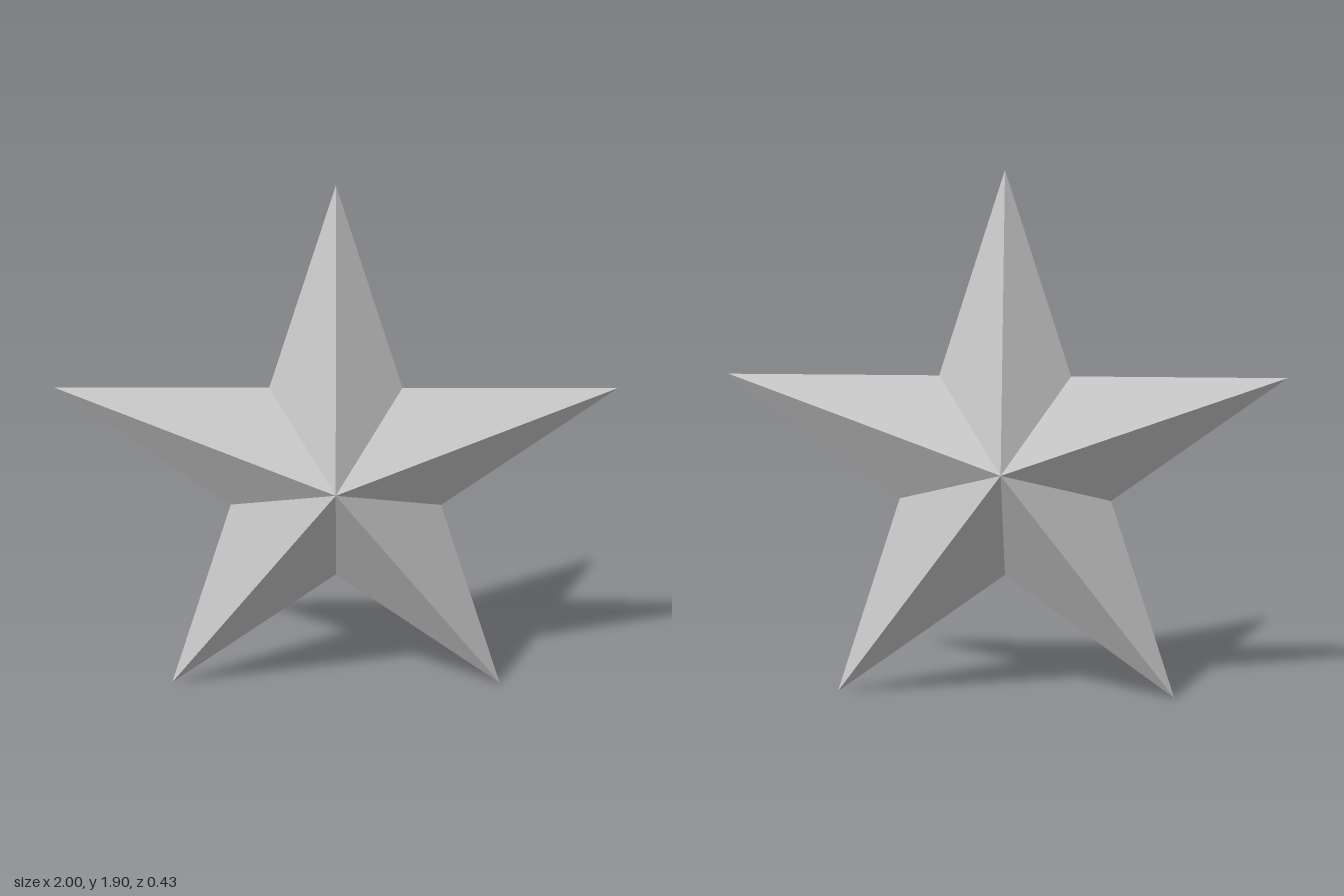
import * as THREE from 'three';

const POINTS = 5;
const OUTER = 1 / Math.sin((2 * Math.PI) / 5); // tip radius, giving a width of 2
const INNER = OUTER * 0.382; // pentagram notch radius
const DEPTH = 0.217; // centre height of each face

// Outline of alternating tips and notches, raised to a peak in front and behind
function starGeometry() {
  const rim = (i) => {
    const a = Math.PI / 2 + (i * Math.PI) / POINTS;
    const r = i % 2 ? INNER : OUTER;
    return [r * Math.cos(a), r * Math.sin(a), 0];
  };
  const positions = [];
  for (let i = 0; i < POINTS * 2; i++) {
    const a = rim(i), b = rim(i + 1);
    positions.push(...a, ...b, 0, 0, DEPTH); // front facet
    positions.push(...b, ...a, 0, 0, -DEPTH); // back facet
  }
  const geometry = new THREE.BufferGeometry();
  geometry.setAttribute('position', new THREE.Float32BufferAttribute(positions, 3));
  geometry.computeVertexNormals();
  return geometry;
}

export function createModel() {
  const group = new THREE.Group();
  group.name = 'facetedStar';
  const material = new THREE.MeshStandardMaterial({ color: 0xcccccc, flatShading: true });
  const star = new THREE.Mesh(starGeometry(), material);
  star.name = 'star';
  star.position.y = OUTER * Math.cos(Math.PI / POINTS); // lower tips rest on the ground
  group.add(star);
  return group;
}
